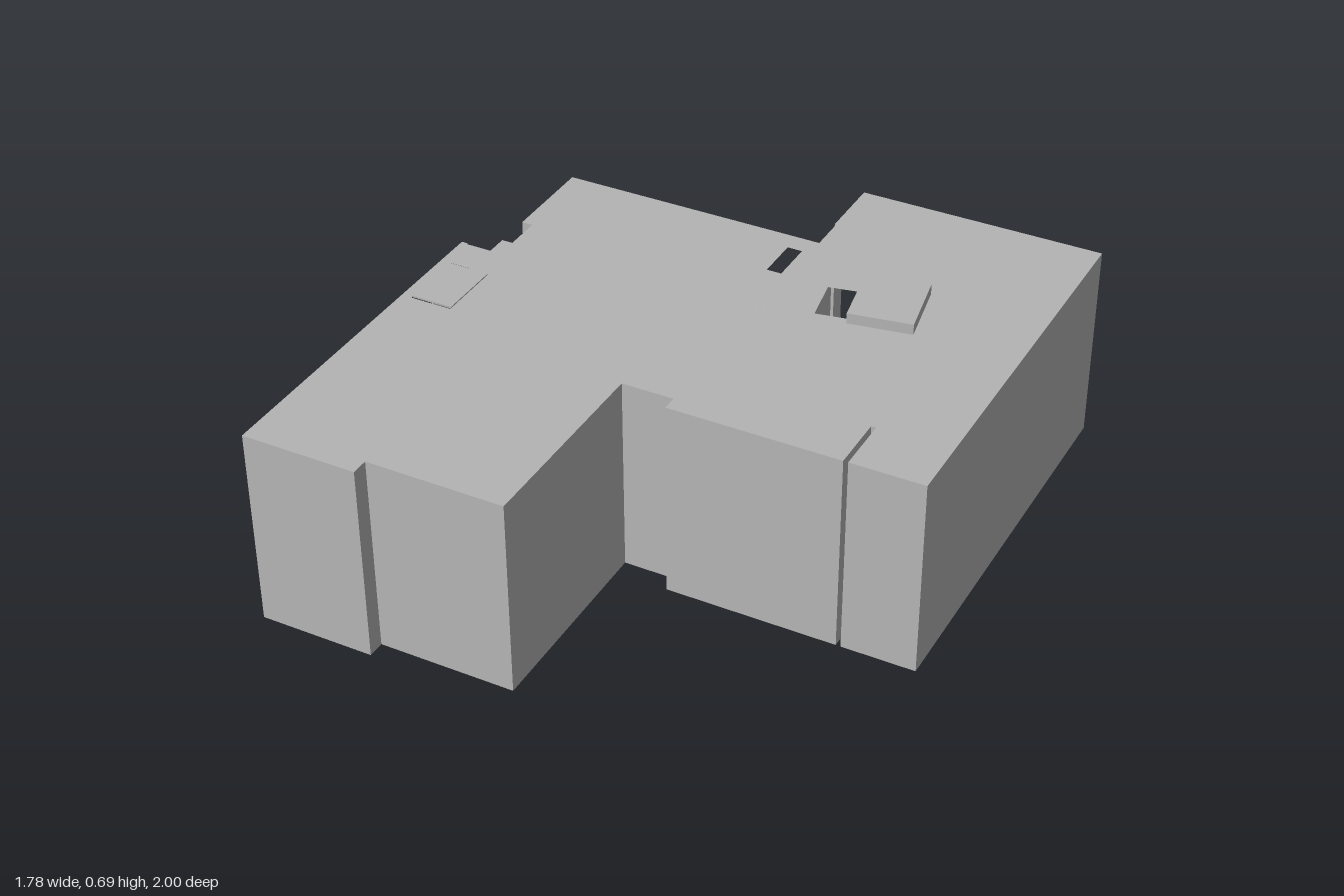
import * as THREE from 'three';

const wallGrey = new THREE.MeshStandardMaterial({ color: 0xb4b4b4 });
wallGrey.name = 'wall grey';

// Corner list of a rectangle in plan
const rect = (x0, x1, z0, z1) => [[x0, z0], [x1, z0], [x1, z1], [x0, z1]];

// Upright prism from a plan outline of [x, z] corners, with holes cut right through
function prism(name, outline, y0, y1, holes = []) {
  const toPoints = (list) => list.map(([x, z]) => new THREE.Vector2(x, -z));
  const shape = new THREE.Shape(toPoints(outline));
  holes.forEach((h) => shape.holes.push(new THREE.Path(toPoints(h))));
  const geometry = new THREE.ExtrudeGeometry(shape, { depth: y1 - y0, bevelEnabled: false });
  geometry.rotateX(-Math.PI / 2).translate(0, y0, 0);
  const mesh = new THREE.Mesh(geometry, wallGrey);
  mesh.name = name;
  return mesh;
}

export function createModel() {
  const model = new THREE.Group();
  model.name = 'building';

  // Tall wing with a front slot, two shallow wall recesses and a roof opening
  model.add(prism('eastWing', [
    [0.09, -1], [0.89, -1], [0.89, 0.345],
    [0.655, 0.345], [0.655, 0.16], [0.64, 0.16], [0.64, 0.345], [0.09, 0.345],
    [0.09, -0.16], [0.095, -0.16], [0.095, -0.25], [0.09, -0.25],
    [0.09, -0.63], [0.095, -0.63], [0.095, -0.78], [0.09, -0.78],
  ], 0, 0.655, [[[0.227, -0.438], [0.332, -0.459], [0.36, -0.308], [0.253, -0.288]]]));

  // Front wing with a stepped front and narrow roof slits
  model.add(prism('frontWing', [
    [-0.89, -0.16], [-0.87, -0.16], [-0.87, -0.155], [-0.77, -0.155], [-0.77, -0.16],
    [0.09, -0.16], [0.09, 0.29], [-0.08, 0.29], [-0.08, 0.945],
    [-0.52, 0.945], [-0.52, 1], [-0.89, 1],
  ], 0, 0.65, [
    rect(-0.855, -0.72, -0.038, -0.032),
    rect(-0.855, -0.72, 0.177, 0.183),
  ]));

  // Low rear block with shafts, a side notch and recesses against the taller wings
  model.add(prism('rearBlock', [
    [-0.895, -0.85], [0.09, -0.85],
    [0.09, -0.78], [0.085, -0.78], [0.085, -0.63], [0.09, -0.63],
    [0.09, -0.25], [0.085, -0.25], [0.085, -0.16],
    [-0.02, -0.16], [-0.02, -0.25], [-0.07, -0.25], [-0.07, -0.16],
    [-0.77, -0.16], [-0.77, -0.165], [-0.87, -0.165], [-0.87, -0.16], [-0.895, -0.16],
    [-0.895, -0.4], [-0.858, -0.4], [-0.858, -0.525], [-0.895, -0.525],
  ], 0, 0.525, [
    rect(-0.07, -0.02, -0.78, -0.63),
    rect(-0.87, -0.77, -0.31, -0.26),
  ]));

  // Thin ledge carrying the rear block's side wall forward
  model.add(prism('sideLedge', rect(-0.895, -0.89, -0.16, 0.29), 0, 0.525));

  // Roof details
  model.add(prism('roofHatch', rect(-0.855, -0.72, -0.032, 0.177), 0.648, 0.654));
  model.add(prism('roofCover', [
    [0.317, -0.512], [0.517, -0.545], [0.559, -0.317], [0.359, -0.283],
  ], 0.655, 0.69));

  return model;
}
